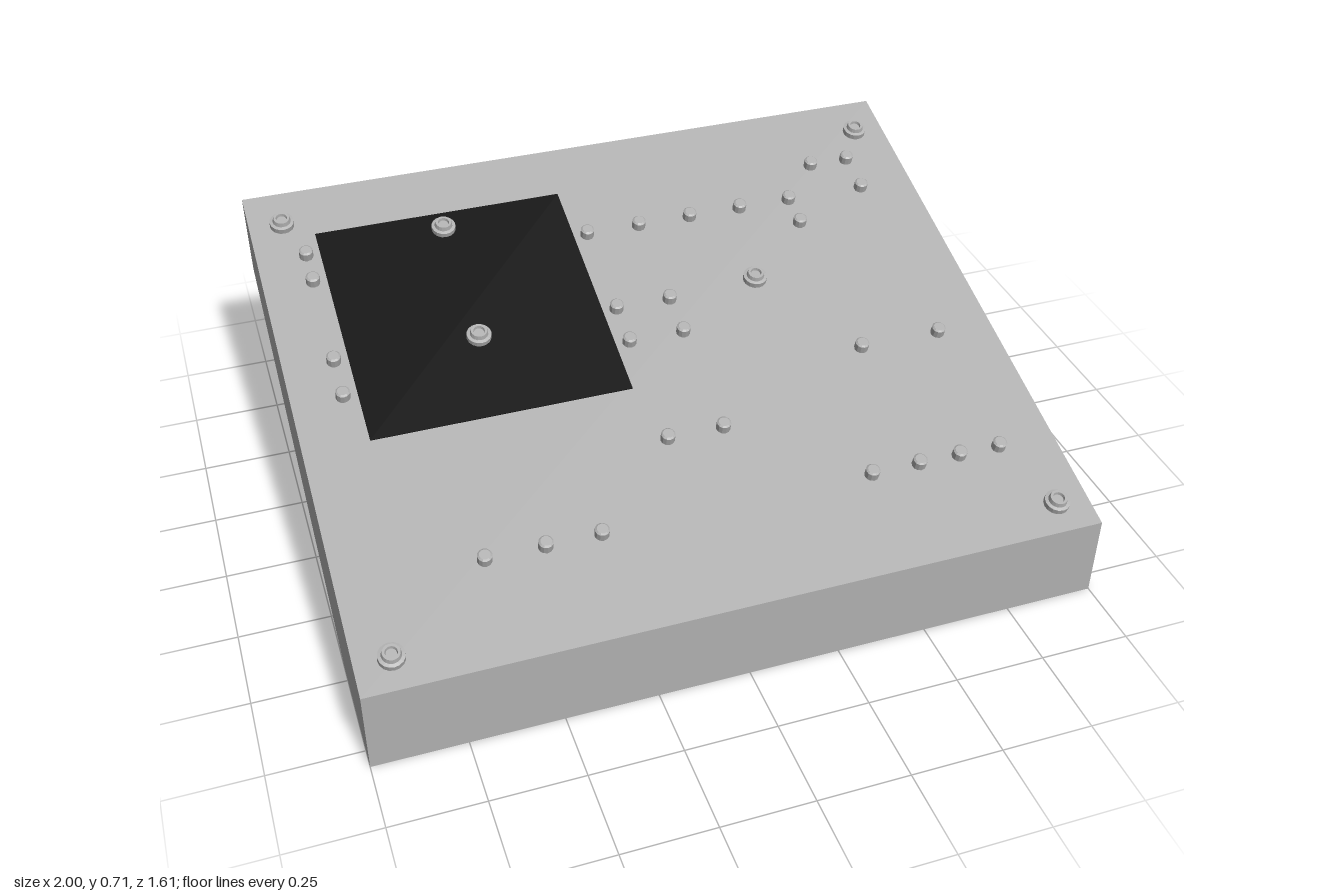
import * as THREE from 'three';

const HALF_Z = 0.805, FRONT_Y = 0.24, BACK_Y = 0.715;
const SLOPE = (BACK_Y - FRONT_Y) / (2 * HALF_Z);
const TILT = Math.atan(SLOPE);
const topY = (z) => FRONT_Y + (HALF_Z - z) * SLOPE;

// Side profile given as [z, y] points, extruded across x and centred
function wedge(points, width) {
  const shape = new THREE.Shape(points.map(([z, y]) => new THREE.Vector2(z, y)));
  const g = new THREE.ExtrudeGeometry(shape, { depth: width, bevelEnabled: false });
  g.translate(0, 0, -width / 2);
  g.rotateY(-Math.PI / 2);
  return g;
}

// Flat-shaded turned part from [radius, height] points
function turned(points, sides) {
  const g = new THREE.LatheGeometry(points.map(([r, y]) => new THREE.Vector2(r, y)), sides).toNonIndexed();
  g.computeVertexNormals();
  return g;
}

export function createModel() {
  const model = new THREE.Group();
  const metal = new THREE.MeshStandardMaterial({ color: 0xb0b0b0 });
  metal.name = 'grey metal';
  const black = new THREE.MeshStandardMaterial({ color: 0x0d0d0d });
  black.name = 'black';

  function add(name, geometry, material) {
    const mesh = new THREE.Mesh(geometry, material);
    mesh.name = name;
    model.add(mesh);
    return mesh;
  }

  // Place a part on the sloping top surface
  function addOnSlope(name, geometry, material, x, z) {
    const mesh = add(name, geometry, material);
    mesh.position.set(x, topY(z), z);
    mesh.rotation.x = TILT;
  }

  // Sloping case and the narrower foot beneath it
  add('case', wedge([[HALF_Z, 0], [HALF_Z, FRONT_Y], [-HALF_Z, BACK_Y], [-HALF_Z, 0.477], [0.45, 0]], 2), metal);
  const undersideY = (z) => (0.45 - z) * 0.477 / (0.45 + HALF_Z);
  add('foot', wedge([[0.45, 0], [-0.73, undersideY(-0.73)], [-0.73, 0]], 1.87), metal);

  // Black plate lying on the top
  const plate = new THREE.BoxGeometry(0.73, 0.004, 0.73 / Math.cos(TILT));
  addOnSlope('blackPlate', plate, black, -0.455, -0.265);

  // Large stepped screws with a shallow recess
  const screw = turned([[0, 0.022], [0.014, 0.022], [0.016, 0.03], [0.023, 0.03], [0.026, 0.018],
    [0.035, 0.016], [0.035, 0]].reverse(), 16);
  const screws = [[-0.905, -0.685], [0.905, -0.685], [-0.905, 0.72], [0.905, 0.72],
    [-0.455, -0.57], [-0.455, -0.165], [0.38, -0.19]];
  screws.forEach(([x, z]) => addOnSlope('screw', screw, metal, x, z));

  // Small studs, listed as rows of x positions sharing one z
  const stud = turned([[0.02, 0], [0.02, 0.024], [0.015, 0.028], [0, 0.028]], 12);
  const rows = [
    [-0.575, [0.71, 0.83]],
    [-0.555, [-0.86]],
    [-0.457, [-0.86, -0.05, 0.11, 0.27, 0.43, 0.59, 0.83]],
    [-0.363, [0.59]],
    [-0.173, [-0.86, -0.05, 0.11]],
    [-0.053, [-0.86, -0.05, 0.11]],
    [0.115, [0.59, 0.83]],
    [0.28, [-0.05, 0.11]],
    [0.517, [-0.62, -0.46, -0.31, 0.45, 0.59, 0.71, 0.83]],
  ];
  for (const [z, xs] of rows) {
    xs.forEach((x) => addOnSlope('stud', stud, metal, x, z));
  }

  return model;
}
